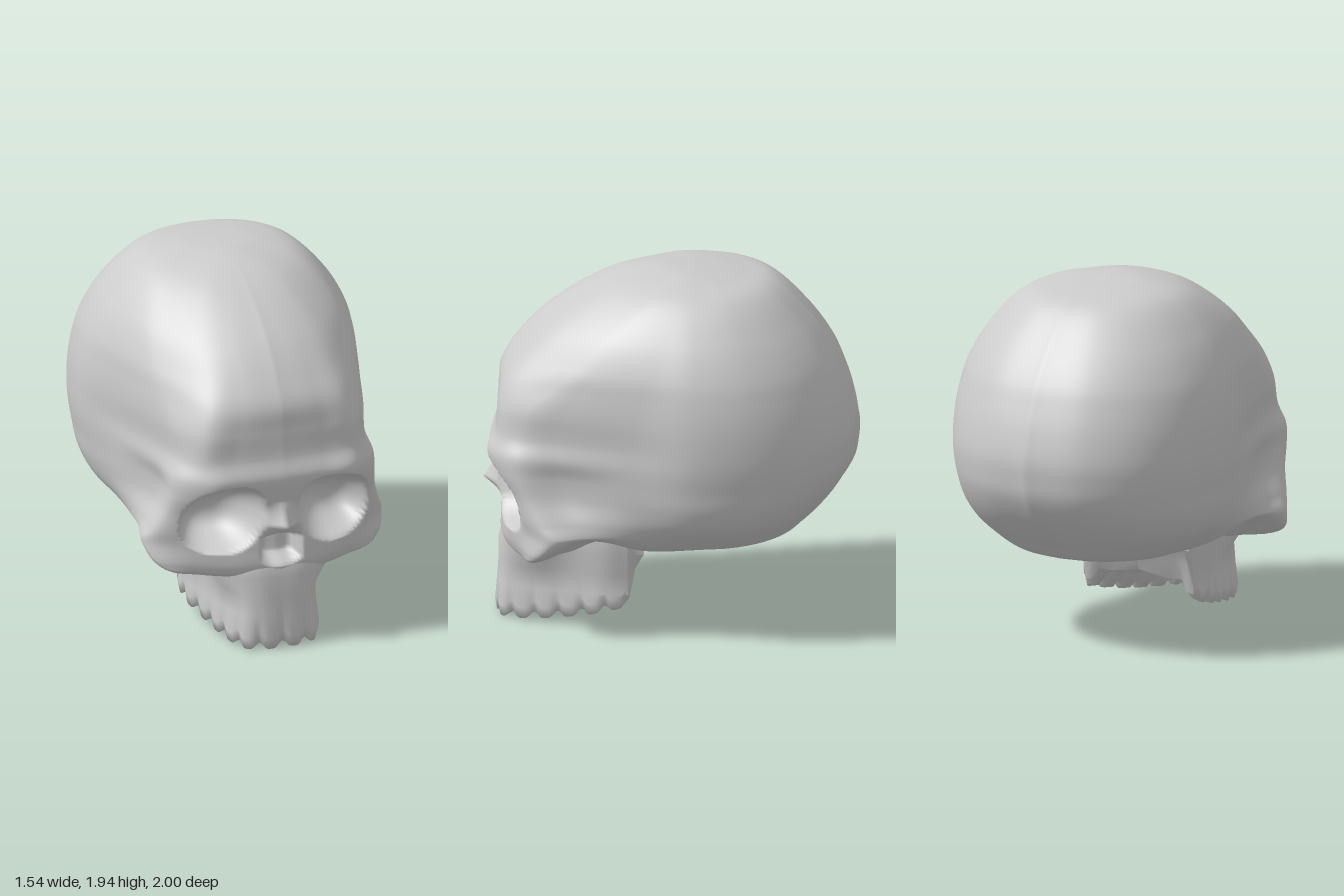
import * as THREE from 'three';

const V = (x, y, z) => new THREE.Vector3(x, y, z);
const clamp = THREE.MathUtils.clamp, lerp = THREE.MathUtils.lerp;

// Skin a grid of points, rows running downward; closed joins the last column to the first
function skin(rows, closed) {
  const n = rows[0].length, pos = [], idx = [];
  rows.forEach(r => r.forEach(p => pos.push(p.x, p.y, p.z)));
  for (let i = 0; i < rows.length - 1; i++) {
    for (let j = 0; j < (closed ? n : n - 1); j++) {
      const k = (j + 1) % n;
      const a = i * n + j, b = a + n, c = (i + 1) * n + k, d = i * n + k;
      idx.push(a, b, c, a, c, d);
    }
  }
  const g = new THREE.BufferGeometry();
  g.setAttribute('position', new THREE.Float32BufferAttribute(pos, 3));
  g.setIndex(idx);
  g.computeVertexNormals();
  return g;
}

// Horizontal sections: front y, back y, front z, brow x z, temple/cheek x z, half width, back z
const SECTIONS = [
  [1.938, 1.905, 0.08, 0.08, 0.05, 0.16, -0.02, 0.23, -0.38],
  [1.865, 1.86, 0.36, 0.20, 0.30, 0.35, 0.12, 0.43, -0.55],
  [1.68, 1.68, 0.67, 0.31, 0.56, 0.49, 0.32, 0.61, -0.74],
  [1.50, 1.50, 0.84, 0.34, 0.75, 0.535, 0.48, 0.71, -0.87],
  [1.38, 1.38, 0.91, 0.37, 0.84, 0.525, 0.61, 0.745, -0.925],
  [1.25, 1.25, 0.92, 0.40, 0.88, 0.515, 0.73, 0.765, -0.97],
  [1.10, 1.10, 0.93, 0.42, 0.89, 0.51, 0.78, 0.77, -1.0],
  [1.00, 1.00, 0.96, 0.40, 0.94, 0.55, 0.80, 0.765, -0.995],
  [0.90, 0.90, 0.945, 0.42, 0.91, 0.565, 0.78, 0.75, -0.975],
  [0.78, 0.78, 0.915, 0.42, 0.85, 0.585, 0.73, 0.73, -0.91],
  [0.66, 0.67, 0.905, 0.42, 0.82, 0.63, 0.67, 0.68, -0.82],
  [0.58, 0.59, 0.91, 0.42, 0.81, 0.665, 0.61, 0.60, -0.74],
  [0.46, 0.51, 0.91, 0.42, 0.79, 0.63, 0.66, 0.46, -0.65],
  [0.405, 0.465, 0.86, 0.42, 0.75, 0.53, 0.69, 0.28, -0.46],
];

// Half outline of one section, from the front centre round the +x side to the back centre
function outline([yf, yb, zf, bx, bz, cx, cz, w, zb]) {
  const zw = -0.17;
  // Full above, slightly hollow at the temples, deeper behind the eye rim
  const bulge = lerp(-0.015, 0.025, clamp((yf - 1.0) / 0.45, 0, 1));
  const hollow = 0.04 * Math.exp(-(((yf - 0.84) / 0.12) ** 2));
  const pts = [[0, zf], [bx * 0.55, lerp(zf, bz, 0.3)], [bx, bz], [cx, cz]];
  pts.push([lerp(cx, w, 0.25) + bulge - hollow, lerp(cz, zw, 0.25)]);
  pts.push([lerp(cx, w, 0.65) + bulge, lerp(cz, zw, 0.65)]);
  for (let i = 0; i <= 4; i++) {
    const a = i * Math.PI / 8;
    const c = i === 4 ? 0 : Math.cos(a) ** 0.94;
    pts.push([w * c, zw + (zb - zw) * Math.sin(a) ** 0.94]);
  }
  return pts.map(([x, z]) => V(x, lerp(yf, yb, (zf - z) / (zf - zb)), z));
}

// Carve the eye sockets and nose opening, raise the nasal bone and cheek arch
function sculpt(p) {
  const ax = Math.abs(p.x), y = p.y;
  if (p.z > 0.4 && y > 0.4 && y < 1.05) {
    const u = Math.abs((ax - 0.312 - (0.76 - y) * 0.14) / 0.212);
    const v = Math.abs((y - 0.764) / 0.207);
    const d = Math.pow(u ** 2.4 + v ** 2.4, 1 / 2.4);
    if (d < 1) p.z -= 0.24 * (1 - d ** 3);

    const rise = y > 0.72 ? 1 - (y - 0.72) / 0.13 : 1 - (0.72 - y) / 0.08;
    const width = lerp(0.14, 0.07, clamp((y - 0.7) / 0.15, 0, 1));
    p.z += 0.095 * clamp(rise, 0, 1) * clamp(1 - ax / width, 0, 1);

    const top = 0.675 - ax * 0.35, bottom = 0.47 + Math.max(0, ax - 0.06) * 0.6;
    const edge = Math.min((top - y) / 0.04, (y - bottom) / 0.05, (0.115 - ax) / 0.035);
    p.z -= 0.1 * clamp(edge, 0, 1);
  }
  const arch = clamp((0.6 - y) / 0.15, 0, 1) * clamp((ax - 0.2) / 0.2, 0, 1);
  p.y += 0.1 * arch * Math.exp(-(((p.z - 0.38) / 0.2) ** 2));
  return p;
}

function skullGeometry() {
  const halves = SECTIONS.map(outline), cols = halves[0].length;
  halves.unshift(Array.from({ length: cols }, () => V(0, 1.938, -0.13)));
  halves.push(Array.from({ length: cols }, () => V(0, 0.365, 0.1)));
  const meridians = halves[0].map((_, k) => new THREE.CatmullRomCurve3(halves.map(h => h[k])));
  const nRows = (halves.length - 1) * 10, nCols = (cols - 1) * 14, rows = [];
  for (let i = 0; i <= nRows; i++) {
    const ring = new THREE.CatmullRomCurve3(meridians.map(m => m.getPoint(i / nRows)));
    const half = [];
    for (let j = 0; j <= nCols; j++) half.push(sculpt(ring.getPoint(j / nCols)));
    half[0].x = half[nCols].x = 0;
    const mirrored = half.slice(1, -1).reverse().map(p => V(-p.x, p.y, p.z));
    rows.push([...half, ...mirrored]);
  }
  return skin(rows, true);
}

// Upper jaw: a section with tooth edge and palate swept round the dental arch
function jawGeometry() {
  const half = [[0, 0.93], [0.13, 0.92], [0.205, 0.875], [0.26, 0.74], [0.315, 0.5], [0.355, 0.32], [0.345, 0.2]];
  const pts = [...half.slice(1).reverse().map(([x, z]) => V(-x, 0, z)), ...half.map(([x, z]) => V(x, 0, z))];
  const arch = new THREE.CatmullRomCurve3(pts);
  const N = 168, teeth = 14, stations = [];
  for (let j = 0; j <= N; j++) {
    const t = j / N, p = arch.getPointAt(t), tan = arch.getTangentAt(t);
    const out = V(-tan.z, 0, tan.x);
    const gap = Math.abs(Math.cos(Math.PI * t * teeth)) ** 4;
    const back = clamp((0.93 - p.z) / 0.73, 0, 1);
    // Flare into the cheekbone beside the nose
    const flare = 0.3 * Math.exp(-(((p.z - 0.74) / 0.15) ** 2));
    const edge = 0.005 + 0.125 * back ** 1.8 + 0.035 * gap;
    const at = (off, y, sx = 1) => V((p.x + out.x * off) * sx, y, p.z + out.z * off);
    stations.push([
      at(-0.03, lerp(0.47, 0.55, back), 1 + 0.2 * back + flare),
      at(-0.012, lerp(0.41, 0.42, back), 0.97 + 0.17 * back + flare),
      at(-0.012, 0.3, 0.93 + 0.1 * back + flare * 0.15),
      at(-0.004, 0.19, 0.96 + 0.04 * back),
      at(0.006 - 0.012 * gap, edge + 0.06),
      at(-0.005 - 0.01 * gap, edge),
      at(-0.055, edge + 0.01),
      at(-0.09, edge + 0.07),
      at(-0.12, 0.16 + 0.07 * back, 0.75),
      V(0, 0.18 + 0.08 * back, p.z - 0.12 * (1 - back)),
    ]);
  }
  // Close the rear of the jaw up to the skull base
  const rear = (s, y, z) => s.map(p => V(p.x * 0.93, Math.max(p.y, y), z));
  const first = stations[0], last = stations[N];
  stations.unshift(rear(first, 0.42, 0.12), rear(first, 0.33, 0.17));
  stations.push(rear(last, 0.33, 0.17), rear(last, 0.42, 0.12));
  return skin(stations[0].map((_, i) => stations.map(s => s[i])), false);
}

export function createModel() {
  const group = new THREE.Group();
  group.name = 'skull';
  const add = (name, geometry) => {
    const material = new THREE.MeshStandardMaterial({ color: 0xcccccc, side: THREE.DoubleSide });
    const mesh = new THREE.Mesh(geometry, material);
    mesh.name = name;
    group.add(mesh);
  };
  add('cranium', skullGeometry());
  add('upperJaw', jawGeometry());
  return group;
}
